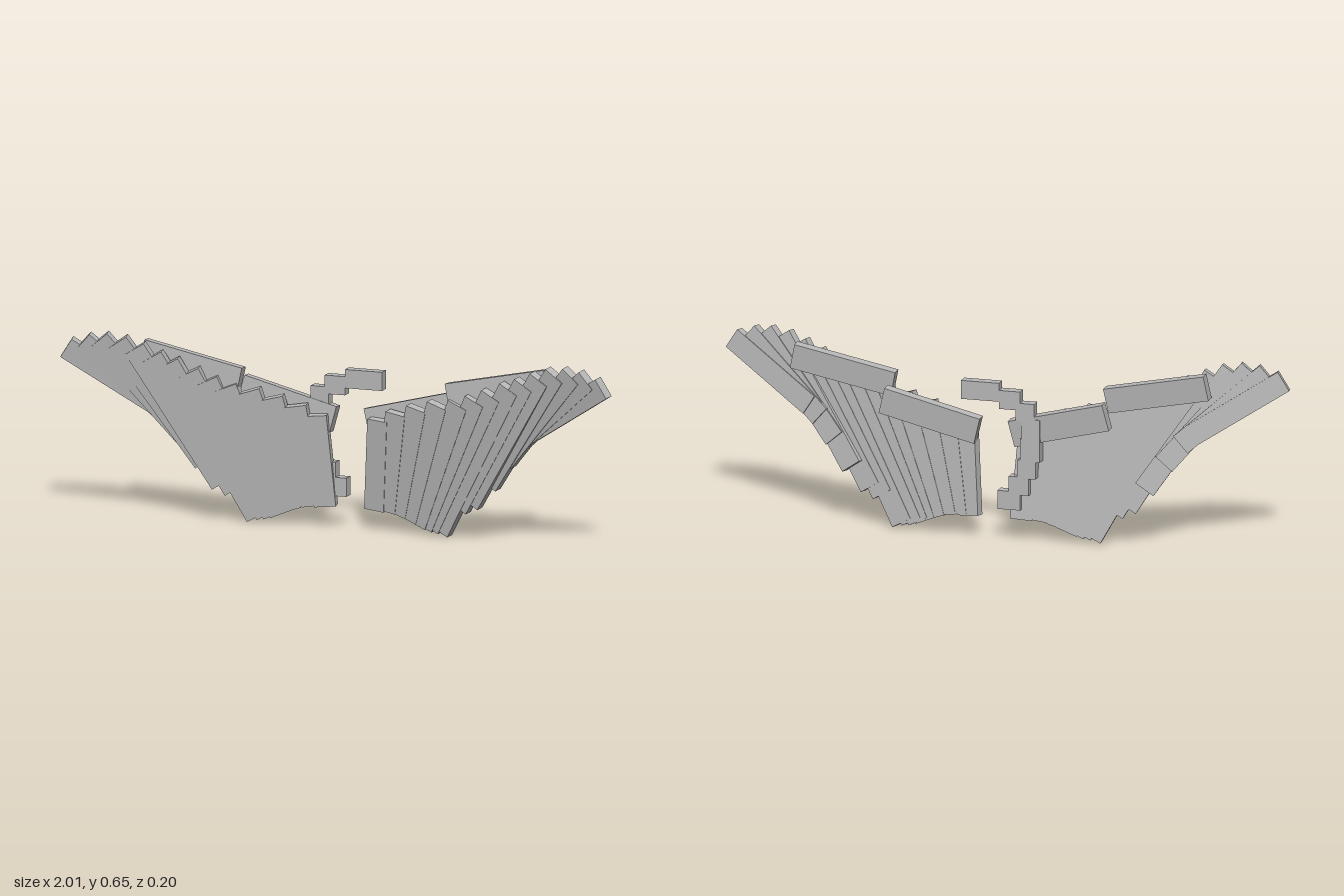
import * as THREE from 'three';

const grey = new THREE.MeshStandardMaterial({ color: 0xb8b8b8 });
grey.name = 'stoneGrey';

// The wing sheet sweeps forward toward the tip: z = A + B*x + C*y
const A = -0.11, B = 0.153, C = 0.083;
const sheetZ = (x, y) => A + B * x + C * y;

// Feathers from wing tip to root: topX, topY, bottomX, bottomY
const FEATHERS = [
  [0.98, 0.587, 0.68, 0.395], [0.922, 0.61, 0.64, 0.36],
  [0.864, 0.62, 0.585, 0.29], [0.80, 0.615, 0.52, 0.20],
  [0.74, 0.595, 0.455, 0.13], [0.68, 0.57, 0.41, 0.11],
  [0.623, 0.55, 0.335, 0.02], [0.553, 0.52, 0.30, 0.028],
  [0.49, 0.495, 0.275, 0.03], [0.425, 0.475, 0.25, 0.035],
  [0.345, 0.465, 0.215, 0.05], [0.265, 0.445, 0.175, 0.065],
  [0.185, 0.42, 0.135, 0.07], [0.115, 0.39, 0.092, 0.07],
];

function box(name, w, h, d) {
  const mesh = new THREE.Mesh(new THREE.BoxGeometry(w, h, d), grey);
  mesh.name = name;
  return mesh;
}

// Flat bar lying in the wing sheet, running from bottom to top
function feather([tx, ty, bx, by], i, side) {
  const lift = 0.002 * (i - 7);
  const sink = i < 4 ? -0.02 : 0;
  const top = new THREE.Vector3(tx * side, ty, sheetZ(tx, ty) + lift);
  const bottom = new THREE.Vector3(bx * side, by, sheetZ(bx, by) + lift + sink);
  const along = top.clone().sub(bottom);
  const mesh = box('feather', 0.076, along.length(), 0.036);
  along.normalize();
  const across = along.clone().cross(new THREE.Vector3(-B * side, -C, 1)).normalize();
  const normal = across.clone().cross(along);
  mesh.quaternion.setFromRotationMatrix(new THREE.Matrix4().makeBasis(across, along, normal));
  mesh.position.copy(top).add(bottom).multiplyScalar(0.5);
  return mesh;
}

function wing(side) {
  const group = new THREE.Group();
  group.name = side > 0 ? 'leftWing' : 'rightWing';
  FEATHERS.forEach((f, i) => group.add(feather(f, i, side)));

  // Two arm bars on the back of the feathers
  const inner = box('innerArm', 0.348, 0.093, 0.038);
  inner.position.set(0.23 * side, 0.415, -0.085);
  inner.rotation.set(-0.07, 0, 0.245 * side);
  const outer = box('outerArm', 0.365, 0.087, 0.038);
  outer.position.set(0.558 * side, 0.534, -0.021);
  outer.rotation.set(-0.06, 0, 0.2 * side);
  group.add(inner, outer);
  return group;
}

export function createModel() {
  const model = new THREE.Group();
  model.name = 'wings';
  model.add(wing(1), wing(-1));

  // Stepped tail of blocks curling behind the right wing: x0, x1, y0, y1
  const tail = new THREE.Group();
  tail.name = 'tail';
  const blocks = [
    [-0.02, 0.115, 0.485, 0.55], [-0.095, -0.02, 0.46, 0.525],
    [-0.145, -0.08, 0.42, 0.485], [-0.165, -0.1, 0.355, 0.43],
    [-0.165, -0.095, 0.28, 0.36], [-0.15, -0.085, 0.22, 0.285],
    [-0.125, -0.055, 0.16, 0.225], [-0.095, -0.015, 0.107, 0.172],
  ];
  for (const [x0, x1, y0, y1] of blocks) {
    const b = box('tailBlock', x1 - x0, y1 - y0, 0.038);
    b.position.set((x0 + x1) / 2, (y0 + y1) / 2, -0.089);
    tail.add(b);
  }
  model.add(tail);
  return model;
}
